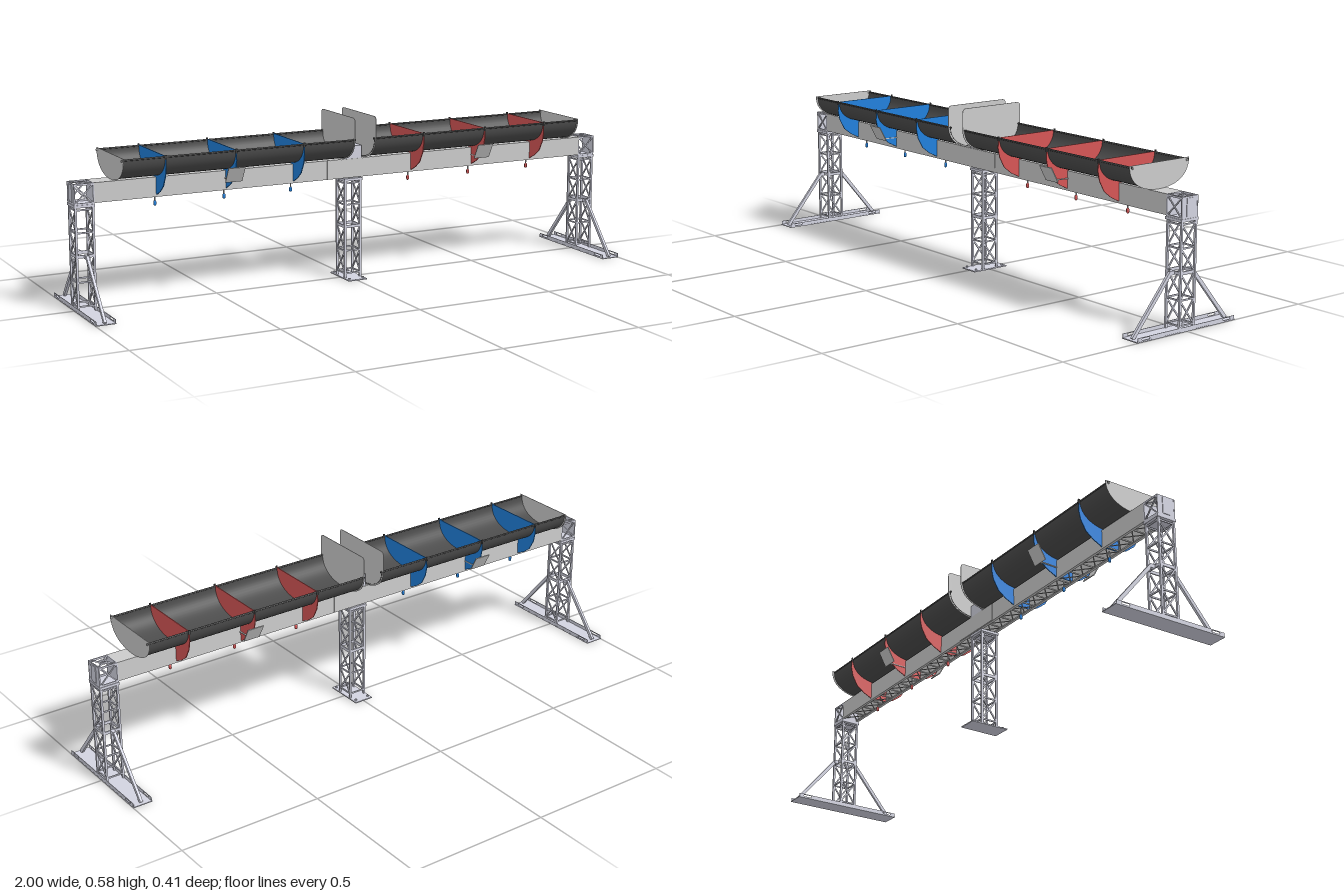
import * as THREE from 'three';
import { toCreasedNormals } from 'three/addons/utils/BufferGeometryUtils.js';

const mat = (color) => new THREE.MeshStandardMaterial({ color, side: THREE.DoubleSide });
const GREY = mat(0xcccccc), STEEL = mat(0xd2d3e0), DARK = mat(0x4c4c4c);
const RED = mat(0xd65656), BLUE = mat(0x2080dd);
const V = (x, y, z) => new THREE.Vector3(x, y, z);

export function createModel() {
  const root = new THREE.Group();

  const add = (parent, name, geo, m, x = 0, y = 0, z = 0) => {
    const mesh = new THREE.Mesh(geo, m);
    mesh.name = name;
    mesh.position.set(x, y, z);
    parent.add(mesh);
    return mesh;
  };
  const group = (name, x = 0) => {
    const g = new THREE.Group();
    g.name = name;
    g.position.x = x;
    root.add(g);
    return g;
  };
  // box given by its limits
  const box = (p, name, m, x0, x1, y0, y1, z0, z1) =>
    add(p, name, new THREE.BoxGeometry(x1 - x0, y1 - y0, z1 - z0), m,
      (x0 + x1) / 2, (y0 + y1) / 2, (z0 + z1) / 2);
  // straight bar between two points
  const bar = (p, name, m, a, b, w, d = w) => {
    const dir = b.clone().sub(a), mid = a.clone().add(b).multiplyScalar(0.5);
    const mesh = add(p, name, new THREE.BoxGeometry(w, dir.length(), d), m, mid.x, mid.y, mid.z);
    mesh.quaternion.setFromUnitVectors(V(0, 1, 0), dir.normalize());
    return mesh;
  };
  // shape drawn in (z, y), extruded along x and centred on x
  const slab = (p, name, m, shape, x, t) => {
    let geo = new THREE.ExtrudeGeometry(shape, { depth: t, bevelEnabled: false, curveSegments: 6 });
    geo.translate(0, 0, -t / 2).rotateY(Math.PI / 2);
    return add(p, name, toCreasedNormals(geo, 0.5), m, x);
  };
  // rounded trough curve, from +z rim to -z rim
  const bowl = (a, b, top, n = 28) => Array.from({ length: n + 1 }, (_, i) => {
    const t = Math.PI * i / n, c = Math.cos(t), s = Math.max(Math.sin(t), 0);
    return new THREE.Vector2(a * Math.sign(c) * Math.abs(c) ** 0.88, top - b * s ** 0.88);
  });

  // lattice column with four corner tubes, rungs and crossed bracing
  const column = (g) => {
    const r = 0.0295, levels = [0.02, 0.1, 0.185, 0.262, 0.337];
    for (const x of [-r, r]) for (const z of [-r, r])
      box(g, 'cornerTube', STEEL, x - 0.0035, x + 0.0035, 0.003, 0.345, z - 0.0035, z + 0.0035);
    levels.forEach((y, i) => {
      const h = i === 2 ? 0.005 : 0.0025;
      for (const s of [-r, r]) {
        box(g, 'rung', STEEL, s - 0.002, s + 0.002, y - h, y + h, -r, r);
        box(g, 'rung', STEEL, -r, r, y - h, y + h, s - 0.002, s + 0.002);
        if (i < 4) for (const d of [-1, 1])
          bar(g, 'crossBrace', STEEL, V(s, y, -d * r), V(s, levels[i + 1], d * r), 0.0035, 0.005);
      }
    });
    box(g, 'columnCap', STEEL, -0.035, 0.035, 0.345, 0.354, -0.036, 0.036);
  };

  // side wall of the foot with a slot near each end
  const wall = new THREE.Shape([[-0.205, 0.002], [0.205, 0.002], [0.205, 0.015], [-0.205, 0.015]]
    .map(([x, y]) => new THREE.Vector2(x, y)));
  for (const s of [-1, 1]) {
    const slot = new THREE.Path();
    slot.absarc(s * 0.171 + 0.013, 0.009, 0.0032, -Math.PI / 2, Math.PI / 2);
    slot.absarc(s * 0.171 - 0.013, 0.009, 0.0032, Math.PI / 2, Math.PI * 1.5);
    wall.holes.push(slot);
  }

  // end legs with channel feet, slanted struts and beam heads
  for (const side of [-1, 1]) {
    const g = group(side > 0 ? 'leftLeg' : 'rightLeg', side * 0.966);
    column(g);
    box(g, 'footPlate', STEEL, -0.034, 0.034, 0, 0.003, -0.207, 0.207);
    for (const x of [-0.0325, 0.0325]) slab(g, 'footWall', STEEL, wall, x, 0.002);
    for (const s of [-1, 1]) {
      bar(g, 'strut', STEEL, V(0, 0.004, s * 0.196), V(0, 0.186, s * 0.044), 0.009, 0.012);
      box(g, 'strutJoint', STEEL, -0.006, 0.006, 0.178, 0.191, Math.min(s * 0.03, s * 0.048), Math.max(s * 0.03, s * 0.048));
    }
    // head: framed box with crossed top bars
    for (const x of [-0.032, 0.032]) for (const z of [-0.032, 0.032])
      box(g, 'headCorner', STEEL, x - 0.002, x + 0.002, 0.354, 0.423, z - 0.002, z + 0.002);
    for (const s of [-0.032, 0.032]) {
      for (const y of [0.357, 0.42])
        box(g, 'headRail', STEEL, -0.032, 0.032, y - 0.003, y + 0.003, s - 0.002, s + 0.002);
      box(g, 'headPlate', STEEL, s - 0.0015, s + 0.0015, 0.354, 0.423, -0.034, 0.034);
      for (const d of [-1, 1])
        bar(g, 'headBrace', STEEL, V(-d * 0.03, 0.358, s), V(d * 0.03, 0.419, s), 0.004);
    }
    box(g, 'headPanel', STEEL, side * 0.0345 - 0.001, side * 0.0345 + 0.001, 0.361, 0.418, -0.014, 0.014);
    for (const d of [-1, 1])
      bar(g, 'topBrace', STEEL, V(-0.03, 0.421, -d * 0.03), V(0.03, 0.421, d * 0.03), 0.004);
    add(g, 'headRing', new THREE.TorusGeometry(0.012, 0.003, 6, 20).rotateX(Math.PI / 2), STEEL, 0, 0.421, 0);
  }

  // centre leg on a flat base, with a joint box over the beam
  const mid = group('centreLeg');
  column(mid);
  box(mid, 'basePlate', STEEL, -0.035, 0.035, 0, 0.004, -0.07, 0.07);
  for (const x of [-0.026, 0.026]) for (const z of [-0.057, 0.057])
    add(mid, 'baseBolt', new THREE.CylinderGeometry(0.004, 0.004, 0.006, 6), STEEL, x, 0.006, z);
  box(mid, 'jointBox', STEEL, -0.033, 0.033, 0.423, 0.466, -0.034, 0.034);

  // hollow beam with closed sides and a lattice underside
  const beam = group('beam');
  for (const s of [-1, 1]) {
    const z = s * 0.0325;
    box(beam, 'beamSide', GREY, -0.934, 0.934, 0.358, 0.423, z - 0.0015, z + 0.0015);
    box(beam, 'bottomRail', GREY, -0.934, 0.934, 0.357, 0.362, s * 0.029 - 0.005, s * 0.029 + 0.005);
    box(beam, 'splicePlate', GREY, -0.1, 0.1, 0.359, 0.422, s * 0.0345 - 0.001, s * 0.0345 + 0.001);
  }
  box(beam, 'beamTop', GREY, -0.934, 0.934, 0.42, 0.423, -0.034, 0.034);
  const bays = 28, step = 1.868 / bays;
  for (let i = 0; i < bays; i++) {
    const x = -0.934 + i * step;
    bar(beam, 'bottomRung', GREY, V(x, 0.36, -0.03), V(x, 0.36, 0.03), 0.004);
    for (const d of [-1, 1])
      bar(beam, 'bottomBrace', GREY, V(x, 0.36, -d * 0.03), V(x + step, 0.36, d * 0.03), 0.003);
  }

  // shapes shared by both troughs
  const skin = new THREE.Shape([...bowl(0.118, 0.079, 0.505), ...bowl(0.1155, 0.0765, 0.505).reverse()]);
  const endShape = new THREE.Shape(bowl(0.125, 0.085, 0.508));
  const tallShape = new THREE.Shape(bowl(0.125, 0.085, 0.508));
  tallShape.lineTo(-0.125, 0.562);
  tallShape.quadraticCurveTo(-0.125, 0.577, -0.11, 0.577);
  tallShape.lineTo(0.11, 0.577);
  tallShape.quadraticCurveTo(0.125, 0.577, 0.125, 0.562);
  const half = [[0.121, 0.505], [0.123, 0.47], [0.116, 0.438], [0.096, 0.402], [0.066, 0.379], [0.0345, 0.364]];
  const ribShape = new THREE.Shape([...half, ...half.map(([z, y]) => [-z, y]).reverse()]
    .map(([z, y]) => new THREE.Vector2(z, y)));

  for (const side of [-1, 1]) {
    const g = group(side > 0 ? 'leftTrough' : 'rightTrough');
    const paint = side > 0 ? RED : BLUE;
    slab(g, 'troughSkin', DARK, skin, side * 0.451, 0.826);
    slab(g, 'outerEndPlate', GREY, endShape, side * 0.864, 0.002);
    slab(g, 'innerEndPlate', GREY, tallShape, side * 0.04, 0.002);
    for (const z of [-0.117, 0.117]) {
      add(g, 'rimRod', new THREE.CylinderGeometry(0.003, 0.003, 0.835, 10).rotateZ(Math.PI / 2), DARK, side * 0.451, 0.502, z);
      add(g, 'rodEnd', new THREE.CylinderGeometry(0.0035, 0.0035, 0.008, 10).rotateZ(Math.PI / 2), GREY, side * 0.866, 0.5, z * 0.98);
    }
    for (const x of [0.228, 0.474, 0.72]) {
      slab(g, 'rib', paint, ribShape, side * x, 0.003);
      // drain pin under the beam
      add(g, 'drainPin', new THREE.CylinderGeometry(0.0025, 0.0025, 0.034, 8), GREY, side * x + 0.006, 0.344, 0);
      add(g, 'drainKnob', new THREE.CapsuleGeometry(0.005, 0.008, 4, 10), paint, side * x + 0.006, 0.33, 0);
      for (const z of [-0.121, 0.121])
        box(g, 'ribTab', DARK, side * x - 0.003, side * x + 0.003, 0.494, 0.509, z - 0.002, z + 0.002);
    }
    // slanted side brackets at the middle rib
    for (const s of [-1, 1]) {
      bar(g, 'sideBracket', GREY, V(side * 0.475, 0.396, s * 0.098), V(side * 0.475, 0.447, s * 0.126), 0.06, 0.003);
      bar(g, 'bracketArm', GREY, V(side * 0.475, 0.397, s * 0.034), V(side * 0.475, 0.399, s * 0.099), 0.01, 0.003);
    }
  }
  return root;
}
